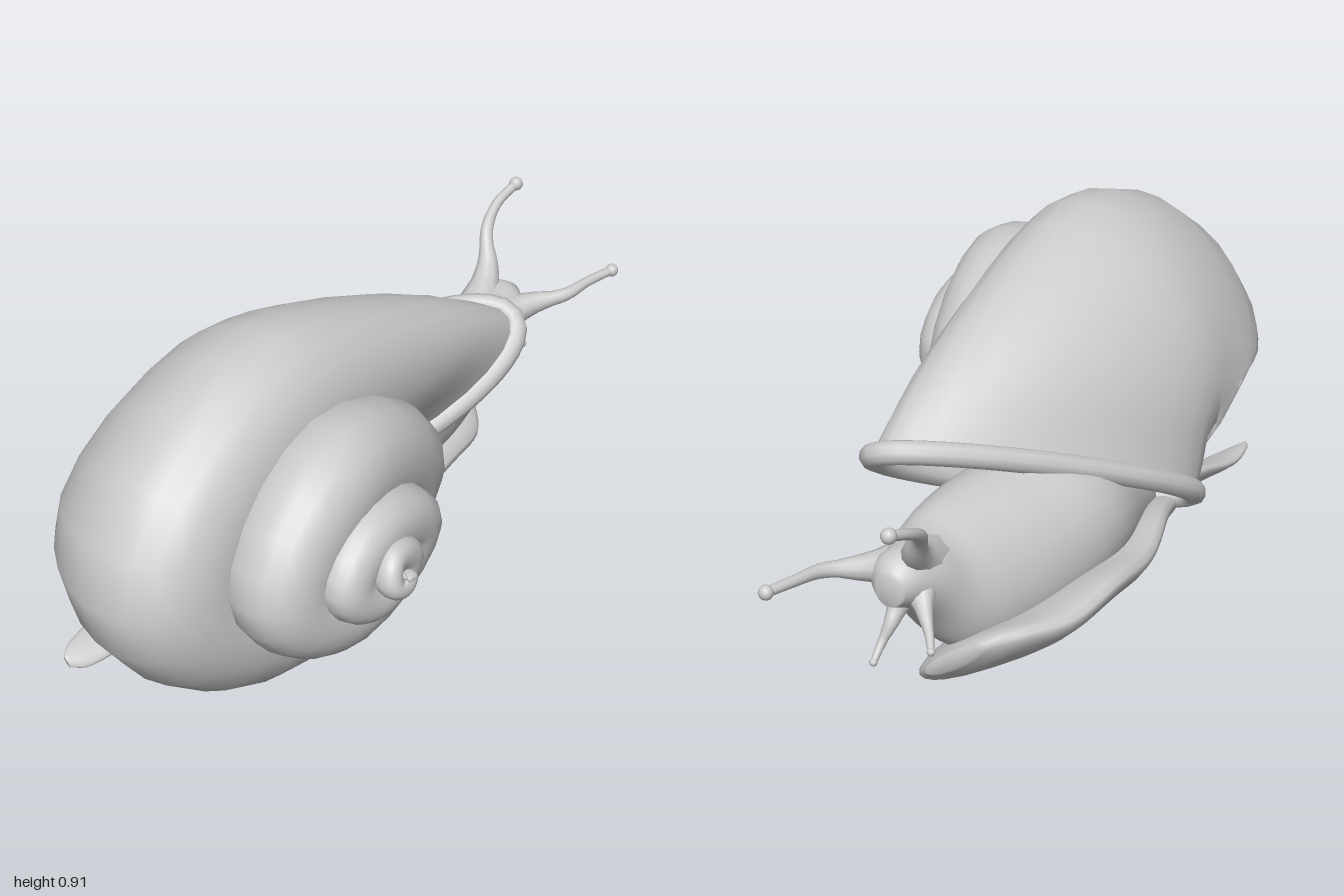
import * as THREE from 'three';

const V = (x, y, z) => new THREE.Vector3(x, y, z);
const material = new THREE.MeshStandardMaterial({ color: 0xcccccc, side: THREE.DoubleSide });

// Smoothly resample rows of six numbers, `steps` samples between neighbours.
function resample(rows, steps) {
  const first = new THREE.CatmullRomCurve3(rows.map(r => V(r[0], r[1], r[2])), false, 'catmullrom');
  const last = new THREE.CatmullRomCurve3(rows.map(r => V(r[3], r[4], r[5])), false, 'catmullrom');
  const n = (rows.length - 1) * steps;
  return Array.from({ length: n + 1 }, (_, i) => [...first.getPoint(i / n), ...last.getPoint(i / n)]);
}

// Point at angle t on an elliptical section {c, u, v}.
const onSection = ({ c, u, v }, t) =>
  c.clone().addScaledVector(u, Math.cos(t)).addScaledVector(v, Math.sin(t));

// Skin a row of sections; u x v points along the travel.
function loft(sections, sides, capped = true) {
  const pos = [], index = [];
  for (const section of sections) {
    for (let j = 0; j < sides; j++) pos.push(...onSection(section, (j / sides) * Math.PI * 2));
  }
  const rings = sections.length;
  for (let i = 0; i < rings - 1; i++) {
    for (let j = 0; j < sides; j++) {
      const a = i * sides + j, b = i * sides + (j + 1) % sides;
      index.push(a, b, a + sides, b, b + sides, a + sides);
    }
  }
  if (capped) {
    const s = rings * sides, e = s + 1, o = (rings - 1) * sides;
    pos.push(...sections[0].c, ...sections[rings - 1].c);
    for (let j = 0; j < sides; j++) {
      const k = (j + 1) % sides;
      index.push(s, k, j, e, o + j, o + k);
    }
  }
  const g = new THREE.BufferGeometry();
  g.setAttribute('position', new THREE.Float32BufferAttribute(pos, 3));
  g.setIndex(index);
  g.computeVertexNormals();
  return g;
}

function add(group, name, geometry) {
  const mesh = new THREE.Mesh(geometry, material);
  mesh.name = name;
  group.add(mesh);
  return mesh;
}

// Tapering stalk through points, with a rounded tip.
function stalk(points, radii, tip) {
  const g = new THREE.Group();
  const n = 20;
  const curve = new THREE.CatmullRomCurve3(points.map(p => V(...p)));
  const frames = curve.computeFrenetFrames(n);
  const sections = Array.from({ length: n + 1 }, (_, i) => {
    const f = (i / n) * (radii.length - 1), k = Math.min(Math.floor(f), radii.length - 2);
    const r = THREE.MathUtils.lerp(radii[k], radii[k + 1], f - k);
    return {
      c: curve.getPointAt(i / n),
      u: frames.normals[i].clone().multiplyScalar(r),
      v: frames.binormals[i].clone().multiplyScalar(r),
    };
  });
  add(g, 'stalk', loft(sections, 10));
  add(g, 'stalkTip', new THREE.SphereGeometry(tip, 12, 8)).position.set(...points[points.length - 1]);
  return g;
}

export function createModel() {
  const model = new THREE.Group();
  model.name = 'snail';

  // Shell whorls, one row per quarter turn from apex to mouth:
  // centre x, y, z, half width along the axis, half height outward
  const whorls = [
    [0.46, 0.46, 0.50, 0.008, 0.008],
    [0.44, 0.46, 0.485, 0.03, 0.025],
    [0.43, 0.45, 0.50, 0.04, 0.04],
    [0.42, 0.46, 0.52, 0.045, 0.04],
    [0.40, 0.49, 0.50, 0.05, 0.05],
    [0.375, 0.46, 0.46, 0.065, 0.08],
    [0.345, 0.42, 0.51, 0.08, 0.09],
    [0.32, 0.46, 0.55, 0.09, 0.11],
    [0.30, 0.50, 0.47, 0.11, 0.11],
    [0.26, 0.44, 0.36, 0.13, 0.15],
    [0.20, 0.37, 0.50, 0.165, 0.17],
    [0.17, 0.45, 0.60, 0.165, 0.20],
    [0.145, 0.55, 0.45, 0.19, 0.21],
    [0.04, 0.42, 0.25, 0.22, 0.27],
    [-0.07, 0.32, 0.47, 0.27, 0.305],
    [-0.13, 0.45, 0.66, 0.28, 0.34],
    [-0.13, 0.56, 0.40, 0.275, 0.34],
    [-0.14, 0.50, 0.09, 0.275, 0.34],
    [-0.15, 0.375, -0.10, 0.27, 0.32],
  ].map((r, i) => [...r, i <= 16 ? i - 16 : [0.33, 0.6][i - 17]]);
  const mouthU = V(-0.27, -0.08, 0.25), mouthV = V(0.06, 0.17, -0.28);
  const shellSections = resample(whorls, 5).map(([x, y, z, a, b, q]) => {
    const t = (q * Math.PI) / 2;
    const mouth = THREE.MathUtils.smoothstep(q, 0, 0.6);
    return {
      c: V(x, y, z),
      u: V(-a, 0, 0).lerp(mouthU, mouth),
      v: V(0.3 * b, b * Math.cos(t), -b * Math.sin(t)).lerp(mouthV, mouth),
    };
  });
  add(model, 'shell', loft(shellSections, 28, false));

  // Rolled lip around the shell mouth
  const mouthSection = shellSections[shellSections.length - 1];
  const rim = Array.from({ length: 32 }, (_, i) => onSection(mouthSection, (i / 32) * Math.PI * 2));
  add(model, 'shellLip', new THREE.TubeGeometry(new THREE.CatmullRomCurve3(rim, true), 64, 0.03, 10, true));

  // Body and neck, leaning with the foot: centre x, y, z, half width, half height, lean angle
  const body = [
    [-0.24, 0.15, 0.40, 0.04, 0.05, 0.53],
    [-0.21, 0.22, 0.15, 0.13, 0.12, 0.53],
    [-0.19, 0.28, -0.1, 0.20, 0.20, 0.53],
    [-0.165, 0.285, -0.32, 0.18, 0.21, 0.5],
    [-0.145, 0.295, -0.48, 0.14, 0.195, 0.45],
    [-0.13, 0.31, -0.58, 0.11, 0.165, 0.4],
    [-0.12, 0.36, -0.66, 0.09, 0.105, 0.25],
    [-0.11, 0.39, -0.73, 0.07, 0.07, 0],
    [-0.115, 0.39, -0.78, 0.035, 0.04, 0],
  ];
  add(model, 'body', loft(resample(body, 5).map(([x, y, z, a, b, t]) => ({
    c: V(x, y, z),
    u: V(-Math.cos(t), Math.sin(t), 0).multiplyScalar(a),
    v: V(Math.sin(t), Math.cos(t), 0).multiplyScalar(b),
  })), 24));

  // Tilted foot: left edge x, y, right edge x, y, station z, half thickness
  const foot = [
    [-0.32, 0.075, -0.30, 0.065, 0.835, 0.006],
    [-0.34, 0.09, -0.27, 0.05, 0.79, 0.015],
    [-0.35, 0.11, -0.24, 0.05, 0.68, 0.02],
    [-0.33, 0.15, -0.19, 0.06, 0.45, 0.03],
    [-0.38, 0.21, -0.14, 0.035, 0.20, 0.045],
    [-0.45, 0.24, -0.10, 0.03, -0.05, 0.055],
    [-0.47, 0.25, -0.08, 0.01, -0.25, 0.055],
    [-0.44, 0.25, -0.07, 0.025, -0.45, 0.055],
    [-0.36, 0.24, -0.08, 0.05, -0.58, 0.045],
    [-0.27, 0.20, -0.13, 0.11, -0.64, 0.02],
  ];
  add(model, 'foot', loft(resample(foot, 5).map(([lx, ly, rx, ry, z, h]) => ({
    c: V((lx + rx) / 2, (ly + ry) / 2, z),
    u: V((lx - rx) / 2, (ly - ry) / 2 + 0.01 * Math.sin(z * 16), 0),
    v: V(ly - ry, rx - lx, 0).normalize().multiplyScalar(h),
  })), 20));

  // Long eye stalks and short feelers
  const stalks = {
    rightEyeStalk: stalk([[-0.12, 0.39, -0.62], [-0.16, 0.48, -0.73], [-0.205, 0.56, -0.79],
      [-0.22, 0.605, -0.86], [-0.21, 0.635, -0.935]], [0.075, 0.04, 0.02, 0.014, 0.012], 0.019),
    leftEyeStalk: stalk([[-0.1, 0.38, -0.62], [-0.03, 0.41, -0.74], [0.035, 0.425, -0.82],
      [0.055, 0.435, -0.9], [0.08, 0.44, -0.982]], [0.075, 0.04, 0.02, 0.014, 0.012], 0.018),
    rightFeeler: stalk([[-0.15, 0.37, -0.70], [-0.2, 0.33, -0.76], [-0.225, 0.31, -0.79],
      [-0.245, 0.29, -0.82]], [0.045, 0.022, 0.012, 0.008], 0.01),
    leftFeeler: stalk([[-0.11, 0.36, -0.70], [-0.11, 0.3, -0.76], [-0.1, 0.26, -0.785],
      [-0.095, 0.22, -0.82]], [0.045, 0.022, 0.012, 0.008], 0.01),
  };
  for (const [name, part] of Object.entries(stalks)) {
    part.name = name;
    model.add(part);
  }
  return model;
}
